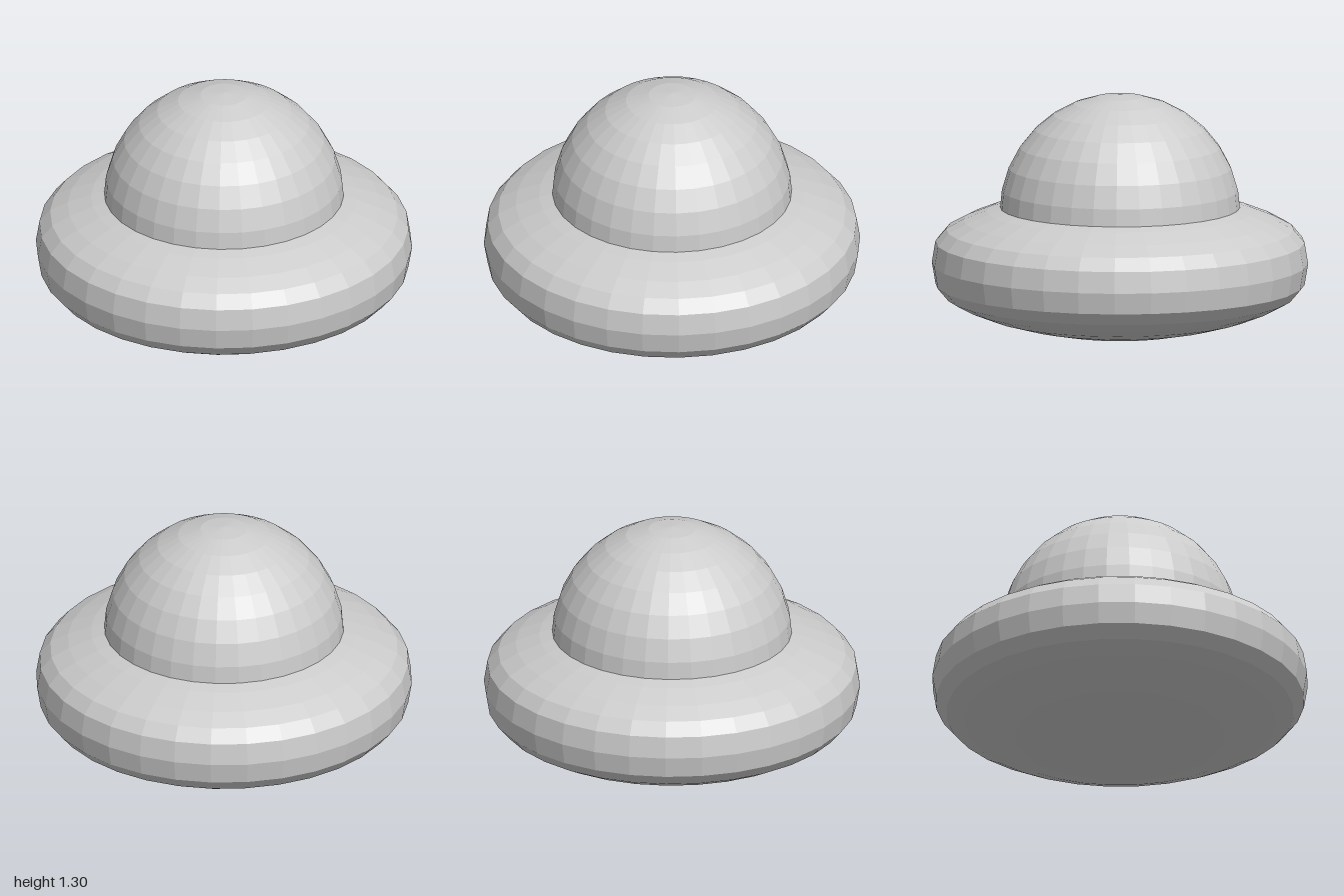
import * as THREE from 'three';

export function createModel() {
  const group = new THREE.Group();
  const material = new THREE.MeshStandardMaterial({ color: 0xcccccc, flatShading: true });
  const sides = 32;
  const midY = 0.39;

  // Rounded saucer: one half profile [radius, height from the rim], mirrored about the rim
  const half = [
    [0, 0.39], [0.195, 0.382], [0.383, 0.358], [0.556, 0.322],
    [0.707, 0.28], [0.831, 0.231], [0.924, 0.181], [0.981, 0.114],
  ];
  const profile = [
    ...half.map(([r, h]) => new THREE.Vector2(r, midY - h)),
    new THREE.Vector2(1, midY),
    ...half.map(([r, h]) => new THREE.Vector2(r, midY + h)).reverse(),
  ];
  const saucer = new THREE.Mesh(new THREE.LatheGeometry(profile, sides), material);
  saucer.name = 'saucerBody';
  group.add(saucer);

  // Domed top, its lower edge sunk into the saucer
  const dome = new THREE.Mesh(
    new THREE.SphereGeometry(0.64, sides, 8, 0, Math.PI * 2, 0, Math.PI / 2),
    material,
  );
  dome.name = 'dome';
  dome.position.y = 0.657;
  group.add(dome);

  return group;
}
